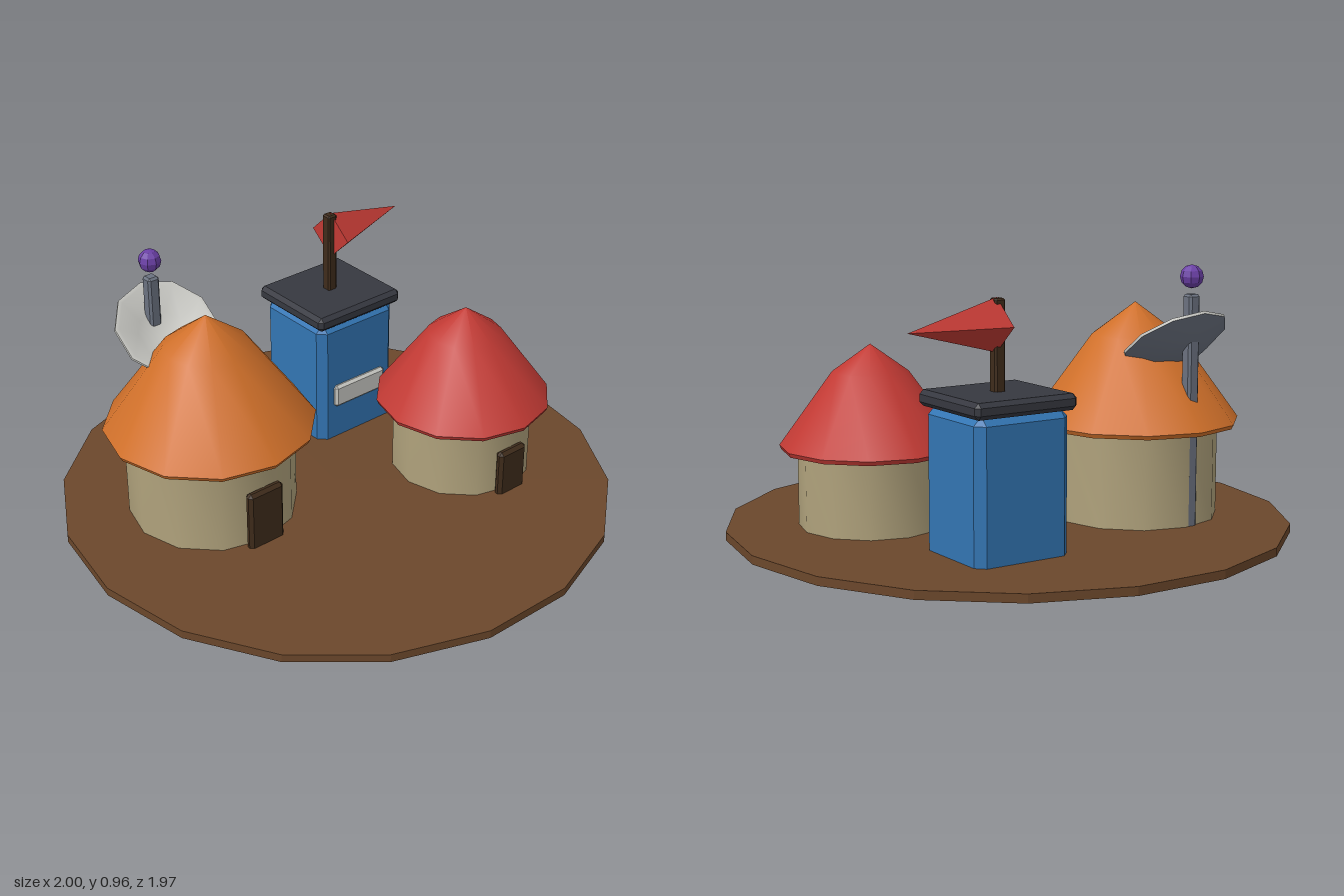
import * as THREE from 'three';
import { toCreasedNormals } from 'three/addons/utils/BufferGeometryUtils.js';
import { ConvexGeometry } from 'three/addons/geometries/ConvexGeometry.js';

const mat = (color, flatShading = false) => new THREE.MeshStandardMaterial({ color, flatShading });
const earth = mat(0x6b472b, true);
const plaster = mat(0xb0a27c);
const orange = mat(0xd0702a);
const red = mat(0xc23a34);
const wood = mat(0x3f2c1b);
const blue = mat(0x3375b3);
const slate = mat(0x363840);
const steel = mat(0x6b7280);
const pale = mat(0xc9c9c4);
const purple = mat(0x6a3fa5, true);

function part(parent, name, geometry, material, x = 0, y = 0, z = 0) {
  const mesh = new THREE.Mesh(geometry, material);
  mesh.name = name;
  mesh.position.set(x, y, z);
  parent.add(mesh);
  return mesh;
}

// Box with 45 degree chamfers on every edge
function chamferBox(w, h, d, c) {
  const points = [];
  for (const sx of [-1, 1]) for (const sy of [-1, 1]) for (const sz of [-1, 1]) {
    const x = w / 2, y = h / 2, z = d / 2;
    points.push(
      new THREE.Vector3(sx * x, sy * (y - c), sz * (z - c)),
      new THREE.Vector3(sx * (x - c), sy * y, sz * (z - c)),
      new THREE.Vector3(sx * (x - c), sy * (y - c), sz * z));
  }
  return new ConvexGeometry(points);
}

// Turned shape from [radius, height] pairs
function turned(profile, sides) {
  const points = profile.map(([r, y]) => new THREE.Vector2(r, y));
  return toCreasedNormals(new THREE.LatheGeometry(points, sides), 0.65);
}

// Round hut with a bent conical roof and a front door
function hut(name, { x, z, wallR, roofR, eave, kinkR, kinkY, apex, doorW, doorH }, roofMat) {
  const g = new THREE.Group();
  g.name = name;
  g.position.set(x, 0, z);
  part(g, 'wall', turned([
    [0, 0.004], [wallR * 0.52, 0.01], [wallR, 0.035], [wallR, eave], [0, eave],
  ], 12), plaster);
  part(g, 'roof', turned([
    [0, eave - 0.012], [roofR * 0.98, eave - 0.012], [roofR, eave + 0.003],
    [kinkR, kinkY], [0, apex],
  ], 12), roofMat);
  part(g, 'door', chamferBox(doorW, doorH, 0.035, 0.012), wood, 0, doorH / 2, wallR + 0.003);
  return g;
}

export function createModel() {
  const model = new THREE.Group();
  model.name = 'village';

  // Ground disc
  part(model, 'ground', new THREE.CylinderGeometry(1, 1, 0.03, 18), earth, 0, 0.028, 0)
    .rotation.y = Math.PI / 2;

  // Huts
  model.add(hut('largeHut', {
    x: -0.425, z: -0.18, wallR: 0.302, roofR: 0.376, eave: 0.386,
    kinkR: 0.155, kinkY: 0.692, apex: 0.807, doorW: 0.148, doorH: 0.262,
  }, orange));
  model.add(hut('smallHut', {
    x: 0.453, z: 0.18, wallR: 0.257, roofR: 0.32, eave: 0.324,
    kinkR: 0.133, kinkY: 0.585, apex: 0.68, doorW: 0.128, doorH: 0.216,
  }, red));

  // Tower with cap, window, pole and pennant
  const tower = new THREE.Group();
  tower.name = 'tower';
  tower.position.set(0.302, 0, -0.396);
  model.add(tower);
  part(tower, 'towerBody', chamferBox(0.36, 0.53, 0.335, 0.03), blue, 0, 0.265, 0);
  part(tower, 'towerCap', chamferBox(0.39, 0.055, 0.365, 0.015), slate, 0, 0.551, 0);
  part(tower, 'window', chamferBox(0.24, 0.09, 0.03, 0.01), pale, 0, 0.223, 0.168);
  part(tower, 'flagPole', chamferBox(0.04, 0.34, 0.04, 0.006), wood, 0, 0.712, 0);
  const pennant = new THREE.ConeGeometry(0.09, 0.355, 4);
  pennant.rotateZ(-Math.PI / 2).translate(0.1775, 0, 0);
  part(tower, 'pennant', toCreasedNormals(pennant, 0.3), red, 0.003, 0.795, 0)
    .rotation.y = 0.1;

  // Mast with ball and tilted dish behind the large hut
  const mast = new THREE.Group();
  mast.name = 'antenna';
  mast.position.set(-0.455, 0, -0.455);
  model.add(mast);
  part(mast, 'mastPost', chamferBox(0.046, 0.825, 0.046, 0.008), steel, 0, 0.443, 0);
  part(mast, 'mastBall', new THREE.SphereGeometry(0.041, 8, 6), purple, 0, 0.916, 0);
  const dish = new THREE.Group();
  dish.name = 'dish';
  dish.position.set(0, 0.688, 0.087);
  dish.rotation.x = 0.62;
  mast.add(dish);
  part(dish, 'dishBack', turned([[0, -0.075], [0.1, -0.06], [0.193, -0.006]], 10), steel);
  part(dish, 'dishBowl', turned([
    [0.193, -0.006], [0.193, 0.004], [0.178, 0.004], [0.095, -0.044], [0, -0.058],
  ], 10), pale);

  return model;
}
